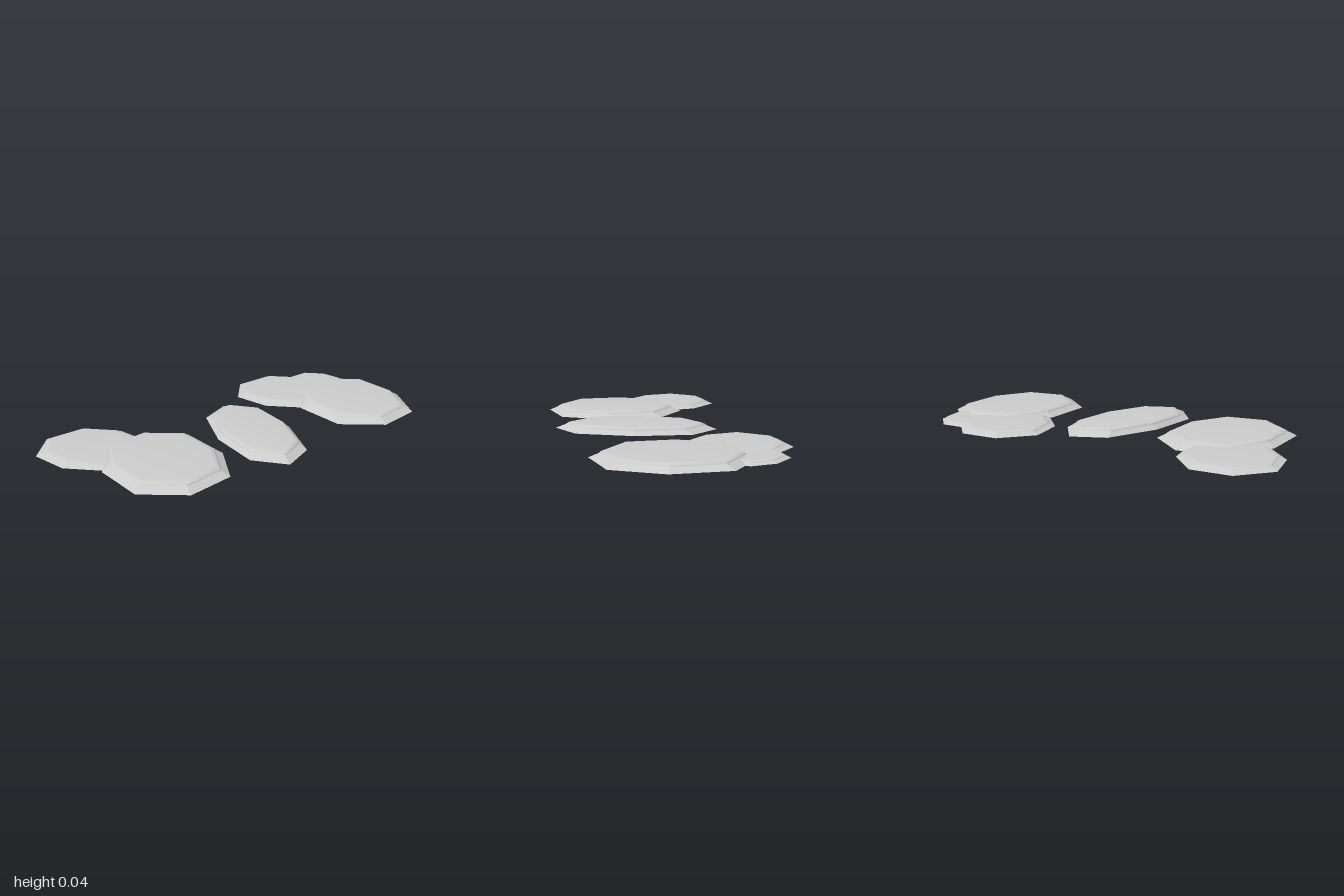
import * as THREE from 'three';

const smooth = new THREE.MeshStandardMaterial({ color: 0xcccccc });
const faceted = new THREE.MeshStandardMaterial({ color: 0xcccccc, flatShading: true });

// Half of each centrally symmetric octagon outline, as [x, z] around its centre
const LARGE = [[-0.195, -0.293], [0.095, -0.283], [0.325, -0.143], [0.36, 0.108]];
const ROUND = [[-0.103, -0.23], [0.098, -0.26], [0.253, -0.115], [0.258, 0.09]];
const LONG = [[-0.24, -0.233], [0.053, -0.193], [0.325, -0.06], [0.398, 0.12]];

// Stack of scaled copies of the outline; each ring is [scale, y], scale 0 closes it
function rings(half, profile, material, name) {
  const outline = [...half, ...half.map(([x, z]) => [-x, -z])];
  const n = outline.length, pos = [], index = [];
  for (const [s, y] of profile) for (const [x, z] of outline) pos.push(x * s, y, z * s);
  for (let k = 0; k < profile.length - 1; k++) {
    for (let i = 0; i < n; i++) {
      const j = (i + 1) % n, a = k * n + i, b = k * n + j, c = a + n, d = b + n;
      if (profile[k][0] > 0) index.push(a, c, b);
      if (profile[k + 1][0] > 0) index.push(b, c, d);
    }
  }
  const geo = new THREE.BufferGeometry();
  geo.setAttribute('position', new THREE.Float32BufferAttribute(pos, 3));
  geo.setIndex(index);
  geo.computeVertexNormals();
  const mesh = new THREE.Mesh(geo, material);
  mesh.name = name;
  return mesh;
}

// One paving stone: flat base, sloping rim, short step and a softly domed top
function stone(name, half, x, z, h, scale = 1) {
  const g = new THREE.Group();
  g.name = name;
  g.add(
    rings(half, [[0, 0], [1, 0]], faceted, 'base'),
    rings(half, [[1, 0], [0.87, h * 0.5], [0.855, h * 0.64]], faceted, 'rim'),
    rings(half, [[0.855, h * 0.64], [0.82, h * 0.8], [0.76, h * 0.89], [0.4, h * 0.98], [0, h]], smooth, 'top')
  );
  g.scale.set(scale, 1, scale);
  g.position.set(x, 0, z);
  return g;
}

export function createModel() {
  const model = new THREE.Group();
  model.name = 'steppingStones';
  model.add(
    stone('frontLargeStone', LARGE, 0.105, 0.563, 0.042),
    stone('frontSmallStone', ROUND, -0.248, 0.735, 0.026),
    stone('middleStone', LONG, 0.11, 0, 0.042),
    stone('backLargeStone', LARGE, 0.105, -0.707, 0.042),
    stone('backSmallStone', ROUND, -0.248, -0.53, 0.026),
    stone('backTinyStone', ROUND, -0.24, -0.77, 0.019, 0.65)
  );
  return model;
}
